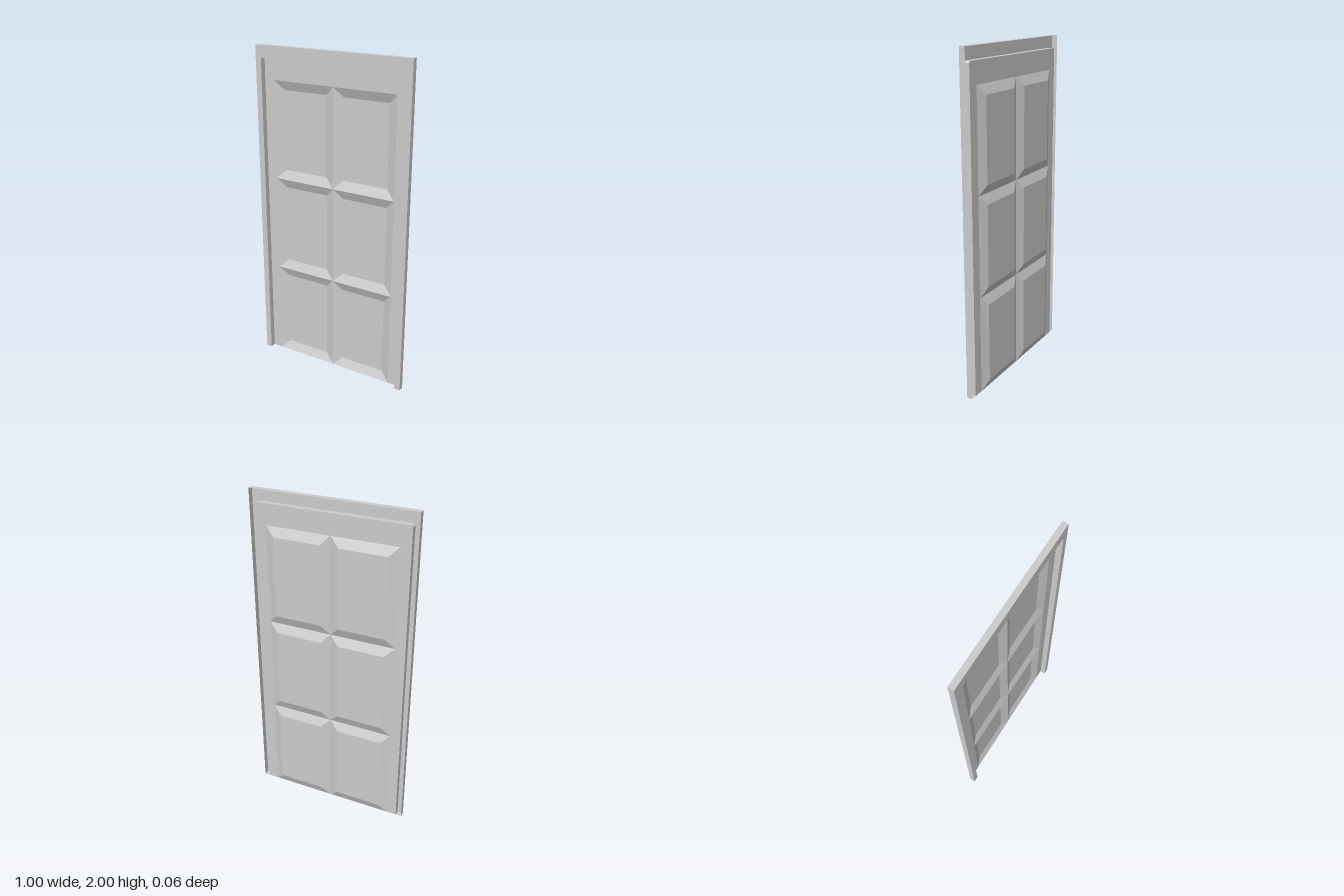
import * as THREE from 'three';

const FRONT = 0.029, SHEET = -0.006, BACK = -0.029;
const material = new THREE.MeshStandardMaterial({
  color: 0xcccccc, flatShading: true, side: THREE.DoubleSide,
});

function addMesh(parent, name, geometry) {
  const mesh = new THREE.Mesh(geometry, material);
  mesh.name = name;
  parent.add(mesh);
  return mesh;
}

// Flat-shaded surface from four-cornered faces, corners counterclockwise
function quads(faces) {
  const pos = faces.flatMap(([a, b, c, d]) => [a, b, c, a, c, d].flat());
  const g = new THREE.BufferGeometry();
  g.setAttribute('position', new THREE.Float32BufferAttribute(pos, 3));
  g.computeVertexNormals();
  return g;
}

// Flat sheet facing the front
function sheet(points, z) {
  const shape = new THREE.Shape(points.map(([x, y]) => new THREE.Vector2(x, y)));
  return new THREE.ShapeGeometry(shape).translate(0, 0, z);
}

// Wall running along a path, from the frame's front to the door sheet
function wall(path) {
  return quads(path.slice(1).map((b, i) => {
    const a = path[i];
    return [[...a, FRONT], [...a, SHEET], [...b, SHEET], [...b, FRONT]];
  }));
}

// Pressed panel: a sloping border around a flat floor set back from the sheet
function panelGeometry(w, h, bevel) {
  const ring = (i, z) => [[i, i, z], [w - i, i, z], [w - i, h - i, z], [i, h - i, z]];
  const rim = ring(0, SHEET), floor = ring(bevel, BACK);
  const slopes = rim.map((p, i) => {
    const j = (i + 1) % 4;
    return [p, rim[j], floor[j], floor[i]];
  });
  return quads([...slopes, floor]);
}

export function createModel() {
  const model = new THREE.Group();
  model.name = 'panelledDoor';

  // Paths run up the +x side, over the top and down the -x side
  const outer = [[0.5, 0], [0.5, 2], [-0.5, 2], [-0.5, 0]];
  const opening = [[0.463, 0], [0.463, 1.916], [0.454, 1.925],
    [-0.454, 1.925], [-0.463, 1.916], [-0.463, 0]];
  const panelField = [[0.4, 0], [0.4, 1.8], [-0.4, 1.8], [-0.4, 0]];
  const reversed = (path) => [...path].reverse();

  // Frame: hollow channel, open at the back
  const frame = new THREE.Group();
  frame.name = 'frame';
  model.add(frame);
  addMesh(frame, 'frameFace', sheet([...outer, ...reversed(opening)], FRONT));
  addMesh(frame, 'frameOuterWall', wall(outer));
  addMesh(frame, 'frameInnerWall', wall(reversed(opening)));
  for (const [name, a, b] of [['leftFoot', 0.463, 0.5], ['rightFoot', -0.5, -0.463]]) {
    addMesh(frame, name, quads([
      [[a, 0, SHEET], [b, 0, SHEET], [b, 0, FRONT], [a, 0, FRONT]],
    ]));
  }

  // Door: recessed sheet around two columns of three panels
  const door = new THREE.Group();
  door.name = 'door';
  model.add(door);
  addMesh(door, 'doorSheet', sheet([...opening, ...reversed(panelField)], SHEET));
  const panel = panelGeometry(0.4, 0.6, 0.056);
  for (let row = 0; row < 3; row++) {
    for (const x of [-0.4, 0]) {
      addMesh(door, 'doorPanel', panel).position.set(x, row * 0.6, 0);
    }
  }
  return model;
}
